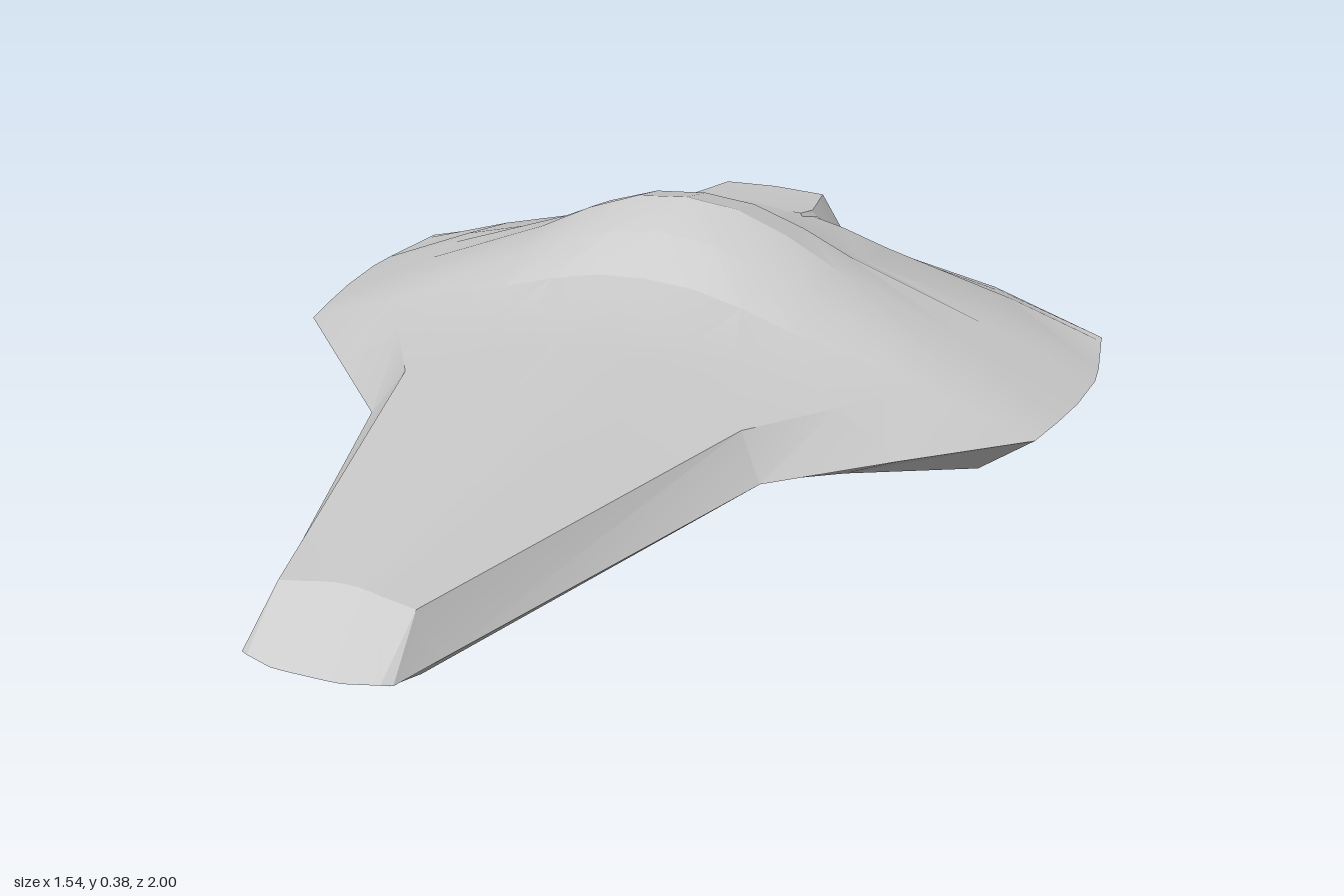
import * as THREE from 'three';
import { toCreasedNormals } from 'three/addons/utils/BufferGeometryUtils.js';

// Skin a list of equal-length point rows, with mirrored diagonals on the two halves
function loft(rows, closed) {
  const n = rows[0].length, last = closed ? n : n - 1, index = [];
  for (let i = 0; i < rows.length - 1; i++) {
    for (let j = 0; j < last; j++) {
      const k = (j + 1) % n;
      const a = i * n + j, b = i * n + k, c = a + n, d = b + n;
      if (j < last / 2) index.push(a, b, c, b, d, c);
      else index.push(a, b, d, a, d, c);
    }
  }
  const geo = new THREE.BufferGeometry();
  geo.setAttribute('position', new THREE.Float32BufferAttribute(rows.flat(2), 3));
  geo.setIndex(index);
  return toCreasedNormals(geo, 0.3);
}

// Shared crown curve: [fraction of the shoulder's x, fraction of the rise to the ridge]
const CROWN = [[0, 1], [0.18, 0.95], [0.36, 0.77], [0.54, 0.52], [1, 0]];

// Full hull ring: crown, rim and arched belly; z bends from the centre to the rim
function hullRing([zMid, zRim, rim, ridge, shoulderX, shoulderY, chineX, chineY, belly = 0.075]) {
  const half = [
    ...CROWN.map(([t, f]) => [t * shoulderX, shoulderY + (ridge - shoulderY) * f]),
    [rim, 0.113 - 0.082 * rim ** 2],
    [chineX, chineY],
    [chineX / 2, belly + (chineY - belly) * 0.25],
    [0, belly],
  ];
  const right = half.map(([x, y]) => [x, y, zMid + (zRim - zMid) * (x / rim) ** 3]);
  const left = right.slice(1, -1).reverse().map(([x, y, z]) => [-x, y, z]);
  return [...right, ...left];
}

export function createModel() {
  const group = new THREE.Group();
  const add = (name, geo, side = THREE.FrontSide) => {
    const mesh = new THREE.Mesh(geo, new THREE.MeshStandardMaterial({ color: 0xcccccc, side }));
    mesh.name = name;
    group.add(mesh);
  };

  // Hull from nose to trailing edge: z at centre, z at rim, rim half-width,
  // ridge height, shoulder x and y, lower chine x and y, belly height
  const stations = [
    [1, 0.965, 0.125, 0.118, 0.11, 0.115, 0.12, 0.112, 0.117],
    [0.87, 0.87, 0.152, 0.203, 0.115, 0.186, 0.12, 0.08],
    [0, 0.11, 0.37, 0.25, 0.32, 0.176, 0.3, 0.066],
    [-0.12, -0.1, 0.55, 0.257, 0.43, 0.163, 0.45, 0.042],
    [-0.27, -0.32, 0.735, 0.283, 0.53, 0.155, 0.64, 0.004],
    [-0.36, -0.42, 0.752, 0.342, 0.55, 0.16, 0.65, 0],
    [-0.48, -0.52, 0.765, 0.375, 0.56, 0.162, 0.66, 0],
    [-0.58, -0.64, 0.77, 0.352, 0.56, 0.16, 0.66, 0],
    [-0.65, -0.7, 0.763, 0.3, 0.56, 0.158, 0.66, 0],
    [-0.84, -0.83, 0.738, 0.253, 0.55, 0.128, 0.63, 0.002],
    [-0.94, -0.85, 0.735, 0.185, 0.52, 0.11, 0.6, 0.035, 0.1],
    [-1, -0.85, 0.735, 0.155, 0.49, 0.1, 0.49, 0.098, 0.153],
  ];
  add('hull', loft(stations.map(hullRing), true));

  // Exhaust hood: thin arched plate with flared side walls, open at the rear
  const hoodRow = (z, topX, topY, footX, footY) => [
    [-footX, footY, z], [-topX, topY, z], [0, topY + 0.004, z], [topX, topY, z], [footX, footY, z],
  ];
  add('exhaustHood', loft([
    hoodRow(-0.8, 0.12, 0.256, 0.13, 0.245),
    hoodRow(-0.85, 0.13, 0.248, 0.14, 0.235),
    hoodRow(-0.99, 0.105, 0.234, 0.16, 0.148),
  ], false), THREE.DoubleSide);

  return group;
}
